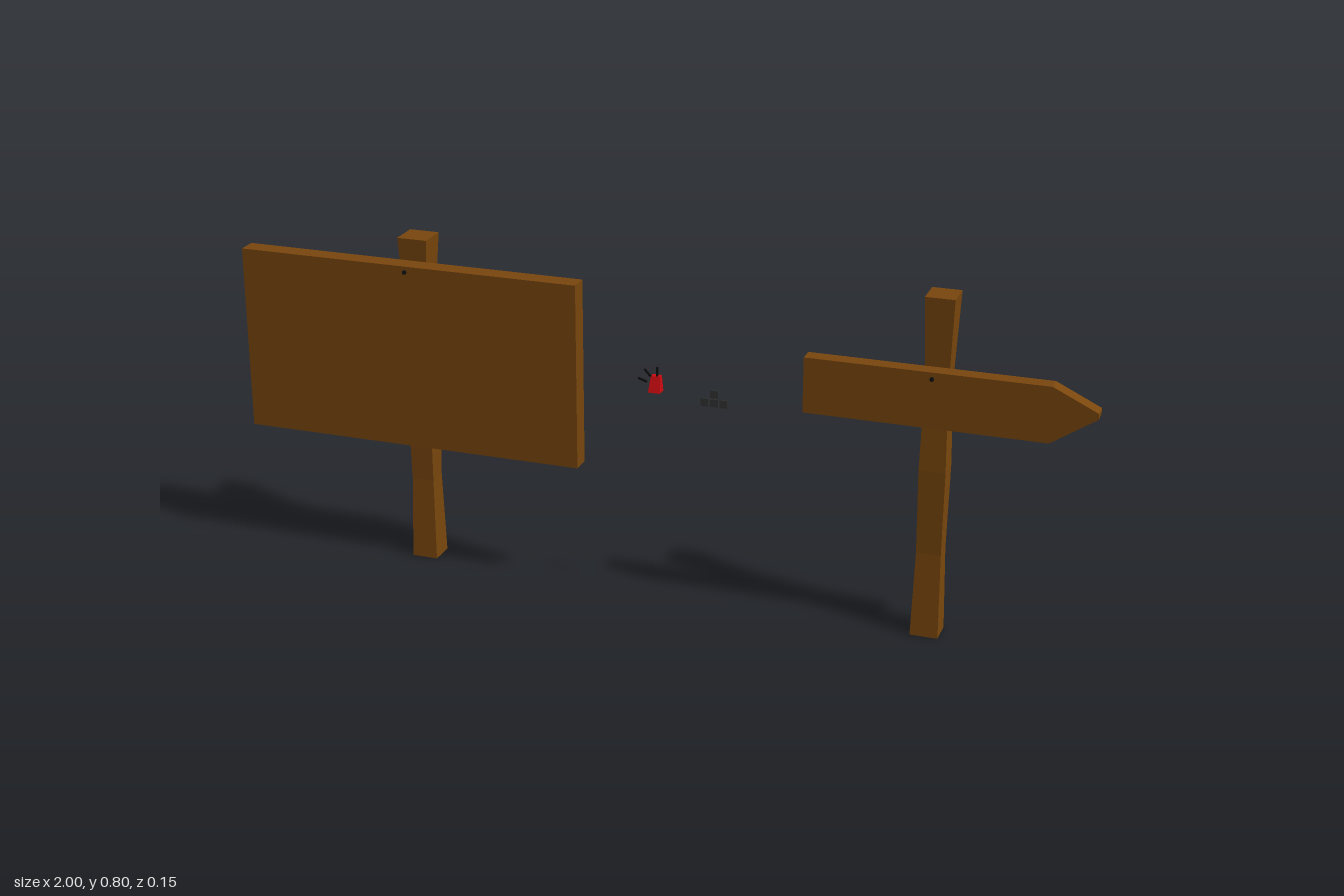
import * as THREE from 'three';

const material = (name, color) => {
  const m = new THREE.MeshStandardMaterial({ color });
  m.name = name;
  return m;
};

export function createModel() {
  const wood = material('brown wood', 0x7a470d);
  const red = material('red', 0xcc0a10);
  const dark = material('dark grey', 0x333333);
  const black = material('black', 0x111111);
  const model = new THREE.Group();

  const add = (name, geometry, mat, x = 0, y = 0, z = 0, parent = model) => {
    const mesh = new THREE.Mesh(geometry, mat);
    mesh.name = name;
    mesh.position.set(x, y, z);
    parent.add(mesh);
    return mesh;
  };

  // Square post, hewn thicker and thinner: rings of [halfWidth, back, front]
  const post = (rings) => {
    const g = new THREE.BoxGeometry(2, 0.8, 2, 1, 4, 1).toNonIndexed();
    const p = g.attributes.position;
    for (let i = 0; i < p.count; i++) {
      const y = p.getY(i) + 0.4;
      const [half, back, front] = rings[Math.round(y / 0.2)];
      p.setXYZ(i, p.getX(i) * half, y, p.getZ(i) < 0 ? back : front);
    }
    g.computeVertexNormals();
    return g;
  };

  // Notice board with its post
  const notice = new THREE.Group();
  notice.name = 'noticeBoard';
  model.add(notice);
  add('noticePost', post([
    [0.031, -0.068, -0.006], [0.027, -0.06, -0.012], [0.029, -0.067, -0.006],
    [0.025, -0.058, -0.012], [0.036, -0.074, -0.003],
  ]), wood, -0.585, 0, 0, notice);
  add('noticePanel', new THREE.BoxGeometry(0.83, 0.44, 0.046), wood, -0.585, 0.528, 0.017, notice);

  // Direction sign with its post
  const sign = new THREE.Group();
  sign.name = 'directionSign';
  model.add(sign);
  add('signPost', post([
    [0.032, -0.053, 0.01], [0.028, -0.046, 0.001], [0.03, -0.053, 0.006],
    [0.026, -0.046, 0.002], [0.033, -0.06, 0.01],
  ]), wood, 0.645, 0, 0, sign);
  const arrow = new THREE.Shape([
    [0.36, 0.517], [0.9, 0.517], [1, 0.584], [1, 0.597], [0.9, 0.645], [0.36, 0.645],
  ].map(([x, y]) => new THREE.Vector2(x, y)));
  add('arrowPanel', new THREE.ExtrudeGeometry(arrow, { depth: 0.037, bevelEnabled: false }),
    wood, 0, 0, 0.008, sign);

  // Nails
  const nail = new THREE.CylinderGeometry(0.005, 0.005, 0.006, 8).rotateX(Math.PI / 2);
  add('noticeNail', nail, black, -0.585, 0.735, 0.042, notice);
  add('signNail', nail, black, 0.643, 0.63, 0.046, sign);

  // Small red button: a block with a sloping front and narrower top
  const button = new THREE.BoxGeometry(0.028, 0.036, 0.024).toNonIndexed();
  const bp = button.attributes.position;
  for (let i = 0; i < bp.count; i++) {
    if (bp.getY(i) > 0) {
      bp.setX(i, bp.getX(i) * 0.75);
      if (bp.getZ(i) > 0) bp.setZ(i, 0.002);
    }
  }
  button.computeVertexNormals();
  add('redButton', button, red, 0.027, 0.548, 0.062);

  // Short strokes fanning out beside the button
  [[0.032, 0.579, 0], [0.01, 0.574, 0.75], [-0.002, 0.556, 1.25]].forEach(([x, y, turn], i) => {
    add('stroke' + (i + 1), new THREE.BoxGeometry(0.005, 0.022, 0.002), black, x, y, 0.067)
      .rotation.z = turn;
  });

  // Four small square keys
  const key = new THREE.BoxGeometry(0.019, 0.018, 0.002);
  [[0.138, 0.515], [0.16, 0.515], [0.182, 0.515], [0.16, 0.536]].forEach(([x, y], i) => {
    add('key' + (i + 1), key, dark, x, y, 0.052);
  });

  return model;
}
